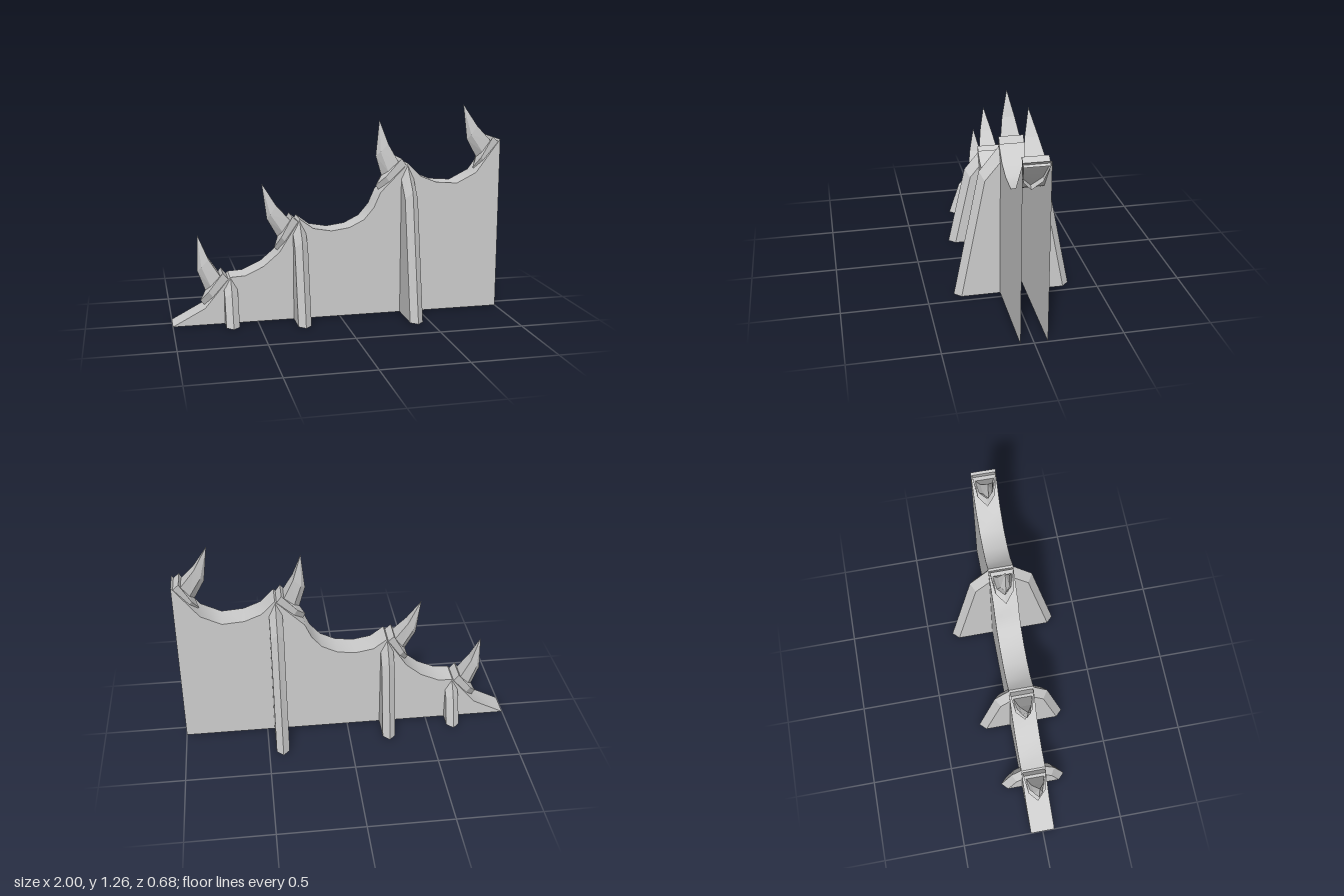
import * as THREE from 'three';

const HALF = 0.075; // half thickness of the wall

// Top outline of the wall, one smooth scallop per span
const SPANS = [
  [[-1, 0], [-0.81, 0.1], [-0.66, 0.28]],
  [[-0.66, 0.28], [-0.57, 0.285], [-0.46, 0.335], [-0.365, 0.415], [-0.24, 0.61]],
  [[-0.24, 0.61], [-0.16, 0.55], [-0.05, 0.53], [0.06, 0.545], [0.15, 0.59], [0.21, 0.66], [0.25, 0.75], [0.42, 0.92]],
  [[0.42, 0.92], [0.5, 0.84], [0.6, 0.8], [0.73, 0.79], [0.85, 0.85], [1, 1.05]],
];

// Flat-shaded geometry from polygons (arrays of Vector3)
function facets(polys) {
  const pts = [];
  for (const p of polys) {
    for (let i = 1; i < p.length - 1; i++) pts.push(p[0], p[i], p[i + 1]);
  }
  const geo = new THREE.BufferGeometry().setFromPoints(pts);
  geo.computeVertexNormals();
  return geo;
}

// Smooth strip across the wall thickness
function topStrip(span) {
  const pts = [], index = [];
  span.forEach(([x, y], i) => {
    pts.push(new THREE.Vector3(x, y, HALF), new THREE.Vector3(x, y, -HALF));
    if (i) {
      const a = 2 * i - 2;
      index.push(a, a + 2, a + 1, a + 1, a + 2, a + 3);
    }
  });
  const geo = new THREE.BufferGeometry().setFromPoints(pts);
  geo.setIndex(index);
  geo.computeVertexNormals();
  return geo;
}

// Tapered rib with a ridge along its outer edge; ridge and shoulder are [y, z]
function buttressGeometry(ridge, shoulder, halfWidth) {
  const polys = [];
  for (const s of [1, -1]) {
    const R = ridge.map(([y, z]) => new THREE.Vector3(0, y, z));
    const S = shoulder.map(([y, z]) => new THREE.Vector3(s * halfWidth, y, z));
    const W = new THREE.Vector3(s * halfWidth, 0, HALF);
    const side = [
      [R[0], S[0], S[1], R[1]],
      [R[1], S[1], S[2], R[2]],
      [W, S[2], S[1], S[0]],
    ];
    for (const p of side) polys.push(s > 0 ? p : p.reverse());
  }
  return facets(polys);
}

// Curved thorn: pentagonal sections given as [topX, topY, bottomX, bottomY, halfWidth]
function hornGeometry() {
  const sections = [
    [0, -0.02, -0.12, -0.2, 0.07],
    [-0.045, 0.02, -0.145, -0.175, 0.07],
    [-0.055, -0.005, -0.125, -0.11, 0.056],
    [-0.135, 0.085, -0.187, 0, 0.036],
    [-0.215, 0.215, -0.215, 0.215, 0],
  ];
  const shape = [[1, 1], [0.35, 0.75], [0, 0], [0.35, -0.75], [1, -1]]; // [up, across]
  const rings = sections.map(([tx, ty, bx, by, w]) => shape.map(([u, k]) =>
    new THREE.Vector3(bx + (tx - bx) * u, by + (ty - by) * u, k * w)));
  const polys = [];
  for (let i = 0; i < rings.length - 1; i++) {
    for (let j = 0; j < 5; j++) {
      const k = (j + 1) % 5;
      const quad = [rings[i][j], rings[i + 1][j], rings[i + 1][k], rings[i][k]];
      polys.push(i === rings.length - 2 ? [quad[0], quad[1], quad[3]] : quad);
    }
  }
  return facets(polys);
}

export function createModel() {
  const stone = new THREE.MeshStandardMaterial({ color: 0xcccccc, side: THREE.DoubleSide });
  stone.name = 'stone grey';
  const model = new THREE.Group();
  model.name = 'thornedWall';
  const add = (name, geo, parent = model) => {
    const mesh = new THREE.Mesh(geo, stone);
    mesh.name = name;
    parent.add(mesh);
    return mesh;
  };

  // Wall faces, open at the bottom and the tall end
  const outline = SPANS.flatMap((span, i) => (i ? span.slice(1) : span));
  const shape = new THREE.Shape([...outline, [1, 0]].map(([x, y]) => new THREE.Vector2(x, y)));
  const face = new THREE.ShapeGeometry(shape).translate(0, 0, HALF);
  add('wallFront', face);
  add('wallBack', face).scale.z = -1;
  SPANS.forEach((span) => add('wallTop', topStrip(span)));

  // Buttresses, mirrored front and back
  const buttresses = [
    { x: -0.657, ridge: [[0, 0.203], [0.2, 0.135], [0.275, HALF]], shoulder: [[0, 0.165], [0.165, 0.11], [0.205, HALF]] },
    { x: -0.243, ridge: [[0, 0.272], [0.495, 0.162], [0.6, HALF]], shoulder: [[0, 0.232], [0.45, 0.132], [0.52, HALF]] },
    { x: 0.417, ridge: [[0, 0.342], [0.765, 0.19], [0.908, HALF]], shoulder: [[0, 0.302], [0.72, 0.162], [0.825, HALF]] },
  ];
  for (const b of buttresses) {
    const geo = buttressGeometry(b.ridge, b.shoulder, 0.039);
    for (const s of [1, -1]) {
      const mesh = add(s > 0 ? 'buttressFront' : 'buttressBack', geo);
      mesh.position.x = b.x;
      mesh.scale.z = s;
    }
  }

  // Thorns at each peak: x, y, tilt in degrees
  const horn = hornGeometry();
  for (const [x, y, tilt] of [[-0.66, 0.28, -9], [-0.24, 0.605, 0], [0.42, 0.92, -13], [1, 1.045, 0]]) {
    const mesh = add('thorn', horn);
    mesh.position.set(x, y, 0);
    mesh.rotation.z = THREE.MathUtils.degToRad(tilt);
  }
  return model;
}
